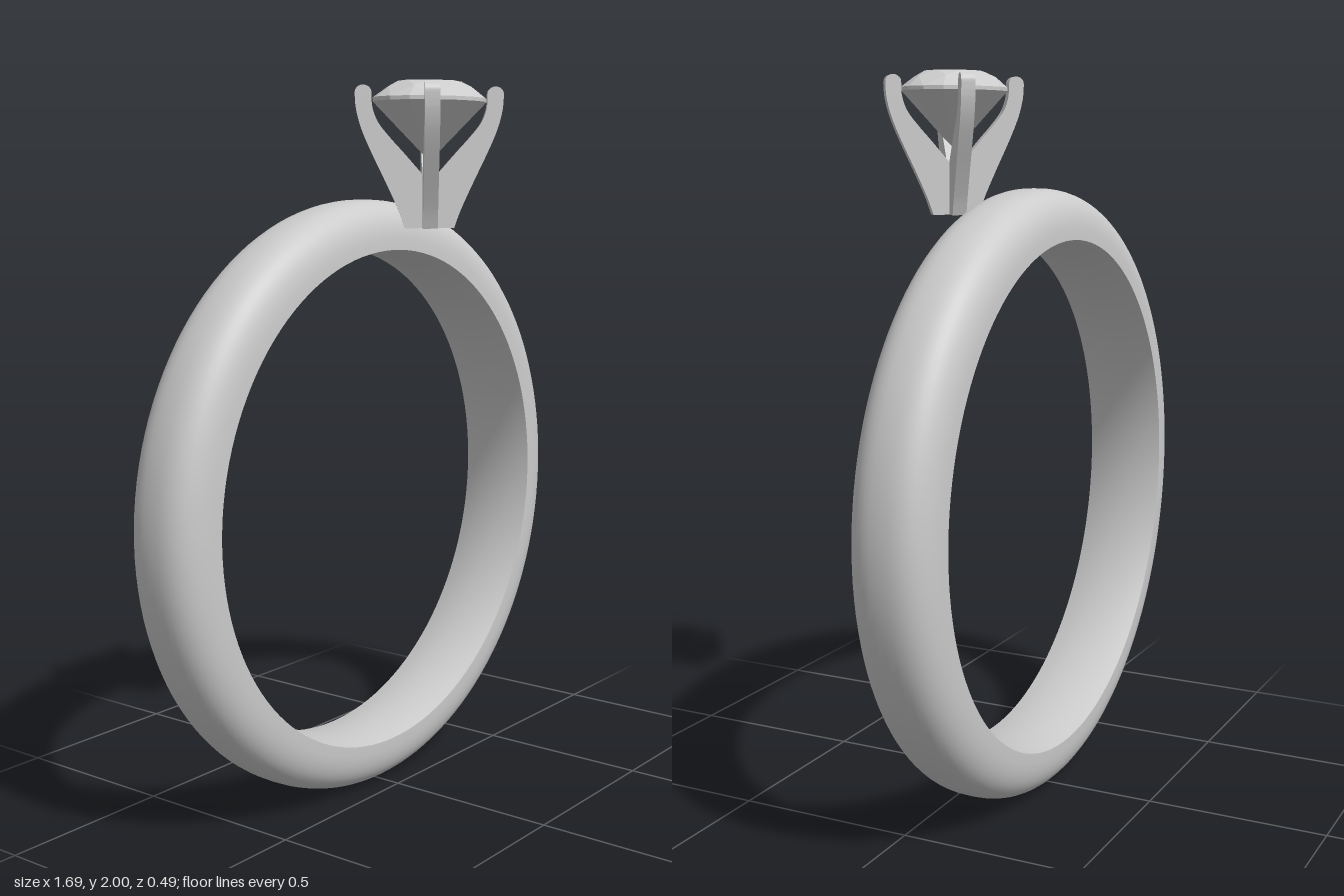
import * as THREE from 'three';
import { toCreasedNormals } from 'three/addons/utils/BufferGeometryUtils.js';
import { ConvexGeometry } from 'three/addons/geometries/ConvexGeometry.js';

const metal = new THREE.MeshStandardMaterial({ color: 0xcccccc });
const facets = new THREE.MeshStandardMaterial({ color: 0xcccccc, flatShading: true });

// Ring band: rounded outside, slightly bowed inside, sharp edge between the two
function createBand() {
  const profile = [];
  const half = 0.115, edge = 0.706, outer = 0.843, inner = 0.689, n = 2.6;
  for (let i = 0; i <= 24; i++) {
    const t = (i / 24) * Math.PI;
    const c = Math.cos(t), s = Math.max(0, Math.sin(t));
    profile.push(new THREE.Vector2(
      edge + (outer - edge) * Math.pow(s, 2 / n),
      -half * Math.sign(c) * Math.pow(Math.abs(c), 2 / n)));
  }
  for (let i = 1; i <= 10; i++) {
    const u = 1 - i / 5;
    profile.push(new THREE.Vector2(inner + (edge - inner) * u * u, half * u));
  }
  const geometry = toCreasedNormals(new THREE.LatheGeometry(profile, 128), 0.8);
  geometry.rotateX(Math.PI / 2);
  const band = new THREE.Mesh(geometry, metal);
  band.name = 'band';
  band.position.set(0, 0.843, -0.13);
  return band;
}

// Prong: a curved plate that runs from the axis outward and ends in a round tip
function createProngGeometry() {
  const width = 0.036;
  const v = (list) => list.map(([x, y]) => new THREE.Vector2(x, y));
  const shape = new THREE.Shape();
  shape.moveTo(0, 1.612);
  shape.lineTo(0.06, 1.612);
  shape.splineThru(v([[0.076, 1.66], [0.105, 1.73], [0.142, 1.815],
    [0.165, 1.875], [0.177, 1.925], [0.18, 1.965]]));
  shape.absarc(0.16, 1.968, 0.02, 0, Math.PI, false);
  shape.splineThru(v([[0.138, 1.93], [0.124, 1.89], [0.095, 1.85],
    [0.066, 1.815], [0.018, 1.755], [0, 1.73]]));
  shape.closePath();
  const geometry = new THREE.ExtrudeGeometry(shape,
    { depth: width, bevelEnabled: false, curveSegments: 5 });
  geometry.translate(0, 0, -width / 2);
  return toCreasedNormals(geometry, 0.6);
}

// Brilliant-cut stone: rings of corner points wrapped in a convex hull
function createStone() {
  const R = 0.138, table = 2.0, top = 1.956, bottom = 1.946, culet = 1.79;
  const points = [new THREE.Vector3(0, culet, 0)];
  const ring = (count, offset, radius, y) => {
    for (let i = 0; i < count; i++) {
      const a = ((i + offset) / count) * Math.PI * 2;
      points.push(new THREE.Vector3(Math.cos(a) * radius * R, y, Math.sin(a) * radius * R));
    }
  };
  const c = Math.cos(Math.PI / 8);
  ring(8, 0, 0.56, table);
  ring(8, 0.5, 0.78, table - (table - top) * (0.78 * c - 0.56) / 0.44);
  ring(16, 0, 1, top);
  ring(16, 0, 1, bottom);
  ring(8, 0.5, 0.25, culet + (bottom - culet) * 0.25 * c);
  const stone = new THREE.Mesh(new ConvexGeometry(points), facets);
  stone.name = 'stone';
  return stone;
}

// Head: four prongs and the stone, stretched sideways into an oval
function createHead() {
  const head = new THREE.Group();
  head.name = 'head';
  const geometry = createProngGeometry();
  for (let i = 0; i < 4; i++) {
    const prong = new THREE.Mesh(geometry, metal);
    prong.name = 'prong' + (i + 1);
    prong.rotation.y = Math.PI / 4 + (i * Math.PI) / 2;
    head.add(prong);
  }
  head.add(createStone());
  head.scale.x = 1.28;
  head.position.z = 0.107;
  return head;
}

export function createModel() {
  const model = new THREE.Group();
  model.name = 'ring';
  model.add(createBand(), createHead());
  return model;
}
